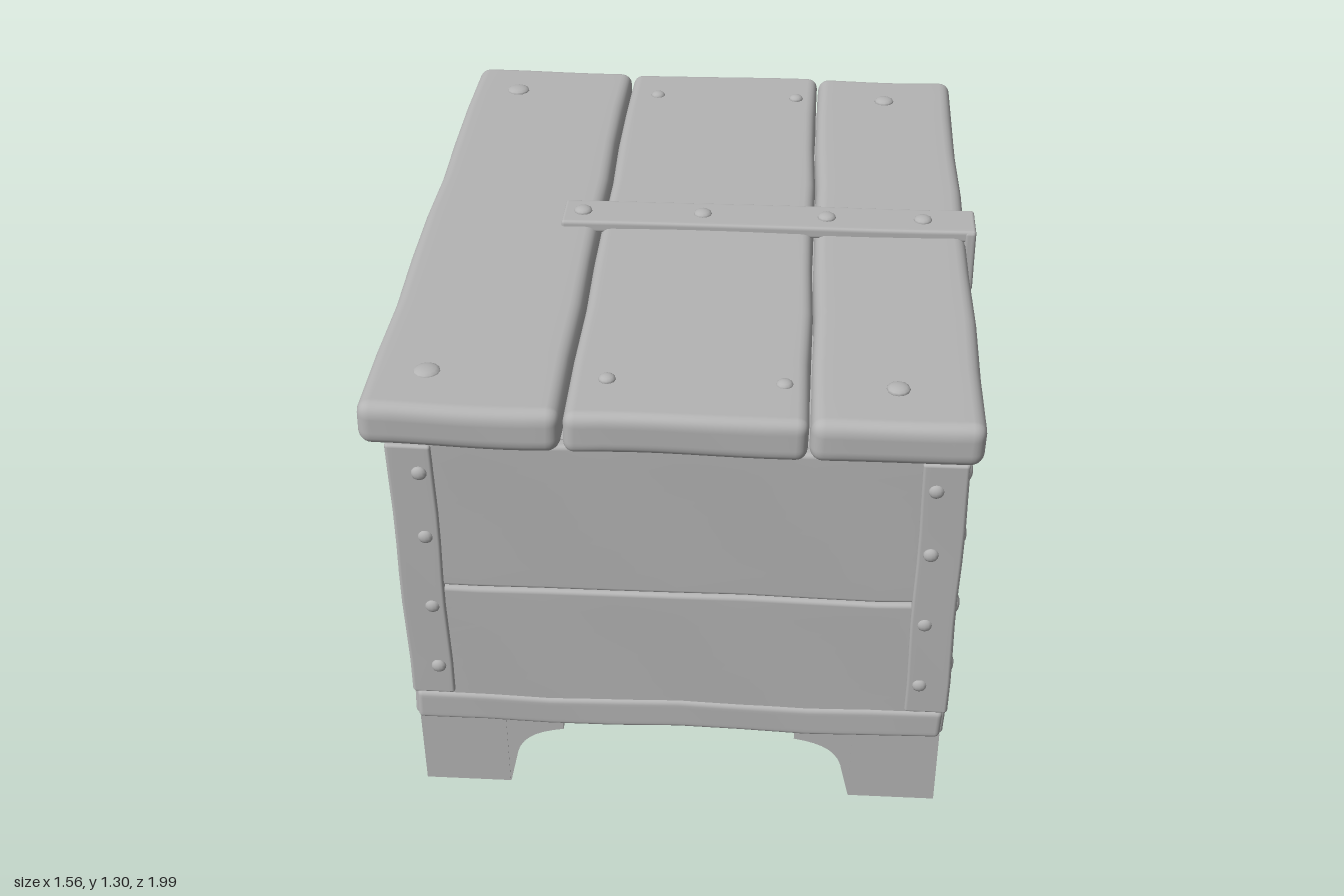
import * as THREE from 'three';
import { mergeVertices } from 'three/addons/utils/BufferGeometryUtils.js';

const grey = new THREE.MeshStandardMaterial({ color: 0xb4b4b4 });
grey.name = 'plain grey';

// Soft-edged, slightly uneven slab given by its min and max corners
function slab(min, max, r, wobble = 0.003) {
  const N = 14, E = 3;
  const half = max.map((m, i) => (m - min[i]) / 2);
  const mid = max.map((m, i) => (m + min[i]) / 2);
  const geo = new THREE.BoxGeometry(2, 2, 2, N, N, N);
  geo.deleteAttribute('normal');
  geo.deleteAttribute('uv');
  const pos = geo.attributes.position;
  const p = new THREE.Vector3(), core = new THREE.Vector3();
  for (let i = 0; i < pos.count; i++) {
    p.fromBufferAttribute(pos, i);
    for (let a = 0; a < 3; a++) {
      // The outer rows of the grid fall inside the rounded edge
      const k = Math.round((p.getComponent(a) + 1) / 2 * N);
      const h = half[a], rr = Math.min(r, h * 0.98);
      let v;
      if (k < E) v = -h + rr * k / E;
      else if (k > N - E) v = h - rr * (N - k) / E;
      else v = (h - rr) * ((k - E) / (N - 2 * E) * 2 - 1);
      p.setComponent(a, v);
      core.setComponent(a, THREE.MathUtils.clamp(v, -h + rr, h - rr));
    }
    const d = p.clone().sub(core);
    const rad = Math.min(r, ...half.map(h => h * 0.98));
    if (d.lengthSq() > 0) p.copy(core).addScaledVector(d.normalize(), rad);
    p.x += mid[0]; p.y += mid[1]; p.z += mid[2];
    const { x, y, z } = p;
    p.x += wobble * Math.sin(9 * z + 13 * y);
    p.y += wobble * Math.sin(8 * x + 7 * z + 1);
    p.z += wobble * Math.sin(11 * x + 9 * y + 2);
    pos.setXYZ(i, p.x, p.y, p.z);
  }
  const out = mergeVertices(geo, 1e-5);
  out.computeVertexNormals();
  return out;
}

export function createModel() {
  const chest = new THREE.Group();
  chest.name = 'chest';
  const add = (name, geo) => {
    const mesh = new THREE.Mesh(geo, grey);
    mesh.name = name;
    chest.add(mesh);
    return mesh;
  };
  // Flattened round nail head; axis 0, 1 or 2 is the direction it faces
  const nail = (x, y, z, axis, r = 0.022) => {
    const s = [r, r, r];
    s[axis] = 0.013;
    add('nailHead', new THREE.SphereGeometry(1, 12, 8).scale(...s).translate(x, y, z));
  };

  // Solid core behind the boards
  add('innerBox', new THREE.BoxGeometry(1.36, 0.92, 1.86).translate(0, 0.70, 0));

  // Wall boards
  for (const s of [-1, 1]) {
    for (const [y0, y1] of [[0.235, 0.695], [0.70, 1.16]]) {
      const z = [s * 0.92, s * 0.96].sort((a, b) => a - b);
      add('endBoard', slab([-0.70, y0, z[0]], [0.70, y1, z[1]], 0.012));
    }
    for (const [y0, y1] of [[0.235, 0.335], [0.337, 0.79], [0.795, 1.16]]) {
      const out = y0 < 0.3 ? 0.718 : 0.708;
      const x = [s * 0.67, s * out].sort((a, b) => a - b);
      add('sideBoard', slab([x[0], y0, -0.955], [x[1], y1, 0.955], 0.012));
    }
    // Bottom rail across each end
    const z = [s * 0.93, s * 0.968].sort((a, b) => a - b);
    add('bottomRail', slab([-0.71, 0.23, z[0]], [0.71, 0.325, z[1]], 0.015));
  }

  // Floor boards
  for (const [x0, x1] of [[-0.69, -0.235], [-0.23, 0.23], [0.235, 0.69]])
    add('floorBoard', slab([x0, 0.228, -0.95], [x1, 0.26, 0.95], 0.006, 0.001));

  // Lid boards
  add('lidBoard', slab([-0.78, 1.153, -0.993], [-0.28, 1.275, 0.99], 0.035));
  add('lidBoard', slab([-0.274, 1.153, -0.99], [0.324, 1.27, 0.99], 0.03));
  add('lidBoard', slab([0.328, 1.147, -0.995], [0.752, 1.268, 0.985], 0.035));
  for (const z of [-0.82, 0.82]) {
    nail(-0.63, 1.275, z, 1, 0.035);
    nail(-0.18, 1.27, z, 1);
    nail(0.26, 1.27, z, 1);
    nail(0.54, 1.268, z, 1, 0.03);
  }

  // Bracket profile for the feet, running inward from the outer edge
  const footShape = (sign, outer, base) => {
    const X = u => sign * (outer - u);
    const sh = new THREE.Shape();
    sh.moveTo(X(0), 0);
    sh.lineTo(X(base), 0);
    sh.lineTo(X(base + 0.02), 0.09);
    sh.bezierCurveTo(X(base + 0.03), 0.16, X(base + 0.07), 0.19, X(base + 0.155), 0.205);
    sh.lineTo(X(base + 0.155), 0.245);
    sh.lineTo(X(0), 0.245);
    sh.closePath();
    return sh;
  };

  for (const sx of [-1, 1]) for (const sz of [-1, 1]) {
    // Foot: one bracket along each wall, overlapping at the corner
    const opt = d => ({ depth: d, bevelEnabled: false, curveSegments: 8 });
    add('foot', new THREE.ExtrudeGeometry(footShape(sx, 0.705, 0.235), opt(0.215))
      .translate(0, 0, sz > 0 ? 0.745 : -0.96));
    add('foot', new THREE.ExtrudeGeometry(footShape(sz, 0.962, 0.215), opt(0.235))
      .rotateY(-Math.PI / 2).translate(sx > 0 ? 0.707 : -0.472, 0, 0));

    // Corner irons
    const ex = [sx * 0.605, sx * 0.718].sort((a, b) => a - b);
    const ez = [sz * 0.94, sz * 0.972].sort((a, b) => a - b);
    add('cornerIron', slab([ex[0], 0.33, ez[0]], [ex[1], 1.15, ez[1]], 0.008, 0.002));
    const wx = [sx * 0.69, sx * 0.72].sort((a, b) => a - b);
    const wz = [sz * 0.82, sz * 0.970].sort((a, b) => a - b);
    add('cornerIron', slab([wx[0], 0.33, wz[0]], [wx[1], 1.15, wz[1]], 0.008, 0.002));
    for (const y of [0.43, 0.64, 0.87, 1.07]) {
      nail(sx * 0.722, y, sz * 0.875, 0, 0.027);
      nail(sx * 0.64, y, sz * 0.97, 2, 0.02);
    }
  }

  // Strap over the lid, turning down into the hasp
  add('strap', slab([-0.385, 1.255, -0.072], [0.778, 1.29, 0.06], 0.009, 0.001));
  add('hasp', slab([0.745, 1.10, -0.07], [0.778, 1.288, 0.062], 0.01, 0.001));
  for (const x of [-0.33, 0.01, 0.36, 0.63]) nail(x, 1.29, -0.005, 1, 0.026);
  add('staple', new THREE.TorusGeometry(0.034, 0.012, 8, 20).scale(1, 1.4, 1).translate(0.735, 1.075, 0));

  // Lock plate with flared corners and a keyhole
  const plate = new THREE.Shape([
    [0.06, 1.05], [0.085, 1.085], [0.095, 1.05], [0.125, 1.045], [0.108, 1.0],
    [0.108, 0.82], [0.128, 0.775], [0.085, 0.765], [0.03, 0.73], [0, 0.695],
    [-0.03, 0.73], [-0.085, 0.765], [-0.128, 0.775], [-0.108, 0.82], [-0.108, 1.0],
    [-0.125, 1.045], [-0.095, 1.05], [-0.085, 1.085], [-0.06, 1.05],
  ].map(([x, y]) => new THREE.Vector2(x, y)));
  const hole = new THREE.Path();
  hole.absellipse(0, 0.87, 0.018, 0.038, 0, Math.PI * 2, true);
  plate.holes.push(hole);
  add('lockPlate', new THREE.ExtrudeGeometry(plate, {
    depth: 0.025, bevelThickness: 0.004, bevelSize: 0.003, bevelSegments: 1, curveSegments: 12,
  }).rotateY(Math.PI / 2).translate(0.7, 0, 0));
  add('keyholeRim', new THREE.TorusGeometry(0.022, 0.006, 6, 20).scale(1, 1.9, 1)
    .rotateY(Math.PI / 2).translate(0.728, 0.87, 0));
  for (const z of [-0.085, 0.085]) for (const y of [0.8, 1.03]) nail(0.729, y, z, 0, 0.016);

  return chest;
}
